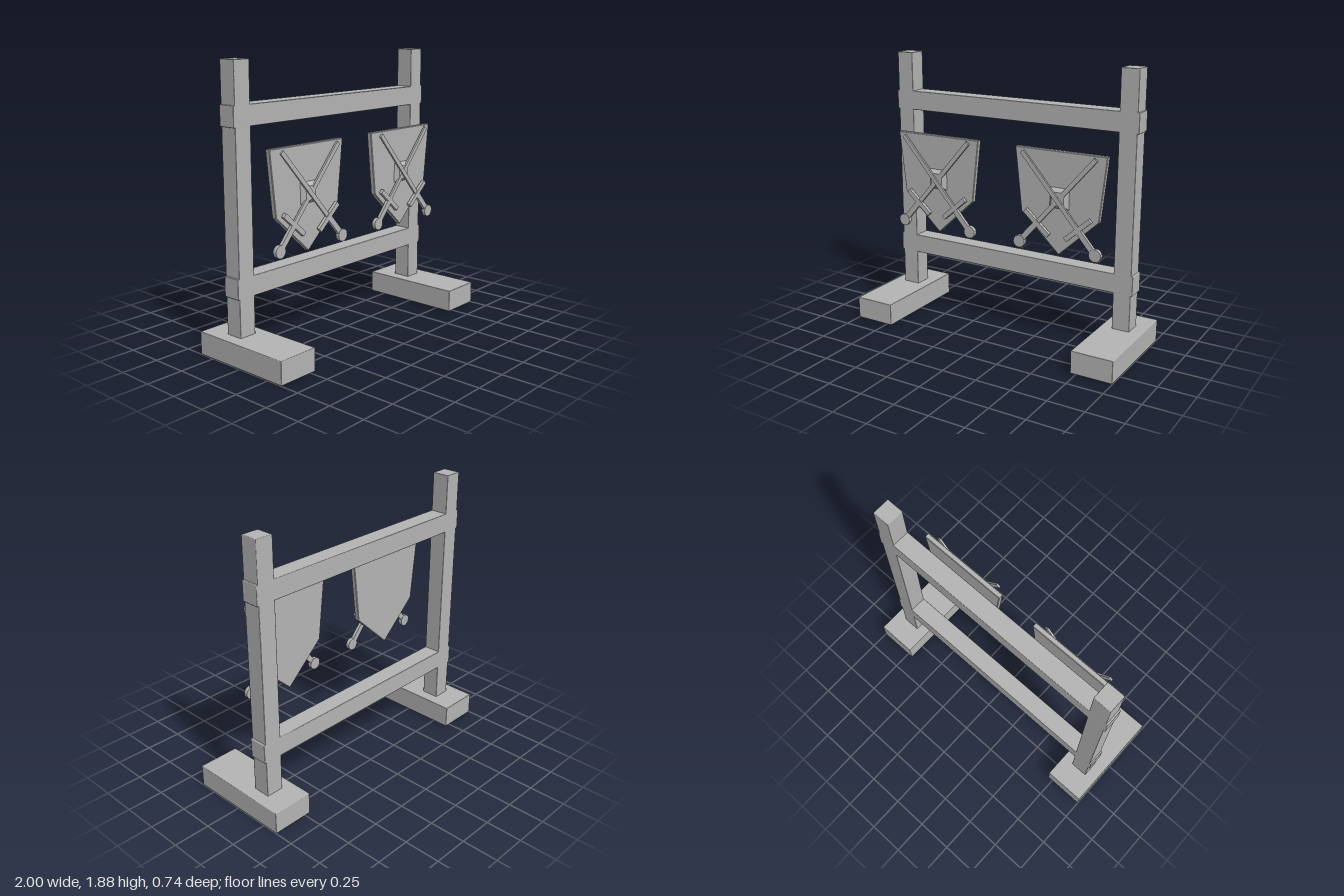
import * as THREE from 'three';
import { RoundedBoxGeometry } from 'three/addons/geometries/RoundedBoxGeometry.js';

const grey = new THREE.MeshStandardMaterial({ color: 0xb4b4b4 });
grey.name = 'grey';

function add(parent, name, geometry, x, y, z) {
  const mesh = new THREE.Mesh(geometry, grey);
  mesh.name = name;
  mesh.position.set(x, y, z);
  parent.add(mesh);
  return mesh;
}

const beam = (w, h, d) => new RoundedBoxGeometry(w, h, d, 1, 0.005);

// Sword with its pommel at the origin and its blade along +y
function makeSword(name) {
  const sword = new THREE.Group();
  sword.name = name;
  add(sword, 'blade', new THREE.BoxGeometry(0.03, 0.63, 0.014), 0, 0.5, 0);
  add(sword, 'crossguard', new THREE.BoxGeometry(0.228, 0.032, 0.024), 0, 0.194, 0);
  add(sword, 'grip', new THREE.BoxGeometry(0.038, 0.2, 0.022), 0, 0.1, 0);
  add(sword, 'pommel', new THREE.CylinderGeometry(0.042, 0.042, 0.027, 16), 0, 0, 0)
    .rotation.x = Math.PI / 2;
  return sword;
}

// Shield with a square boss and two crossed swords
function makeShield(name) {
  const group = new THREE.Group();
  group.name = name;

  const bevel = 0.004;
  const outline = new THREE.Shape(
    [[-0.323, 1.346], [-0.276, 0.922], [0, 0.666], [0.276, 0.922], [0.323, 1.346]]
      .map(([x, y]) => new THREE.Vector2(x, y)));
  const plate = new THREE.ExtrudeGeometry(outline, {
    depth: 0.028, bevelEnabled: true, bevelSize: bevel, bevelThickness: bevel, bevelSegments: 1,
  });
  add(group, 'shieldPlate', plate, 0, 0, 0.055);

  // Four-sided tapered boss
  const boss = new THREE.CylinderGeometry(0.045 * Math.SQRT2, 0.071 * Math.SQRT2, 0.03, 4)
    .toNonIndexed();
  boss.rotateY(Math.PI / 4);
  boss.rotateX(Math.PI / 2);
  boss.computeVertexNormals();
  add(group, 'boss', boss, 0, 1.043, 0.1);

  // The second sword crosses in front of the first
  [[-1, 0.109], [1, 0.12]].forEach(([side, z], i) => {
    const sword = makeSword(i ? 'frontSword' : 'rearSword');
    sword.position.set(side * 0.278, 0.717, z);
    sword.rotation.z = side * Math.atan2(0.533, 0.61);
    group.add(sword);
  });
  return group;
}

export function createModel() {
  const model = new THREE.Group();
  model.name = 'shieldRack';

  // Feet, posts and shields on both sides
  for (const [side, label] of [[1, 'left'], [-1, 'right']]) {
    add(model, label + 'Foot', beam(0.29, 0.155, 0.735), side * 0.855, 0.0775, 0);
    add(model, label + 'Post', beam(0.124, 1.74, 0.125), side * 0.853, 1.01, -0.139);
    const shield = makeShield(label + 'Shield');
    shield.position.x = side * 0.47;
    model.add(shield);
  }

  // Rails passing through the posts
  add(model, 'lowerRail', beam(1.854, 0.134, 0.126), 0, 0.473, -0.139);
  add(model, 'upperRail', beam(1.854, 0.134, 0.126), 0, 1.543, -0.139);

  return model;
}
